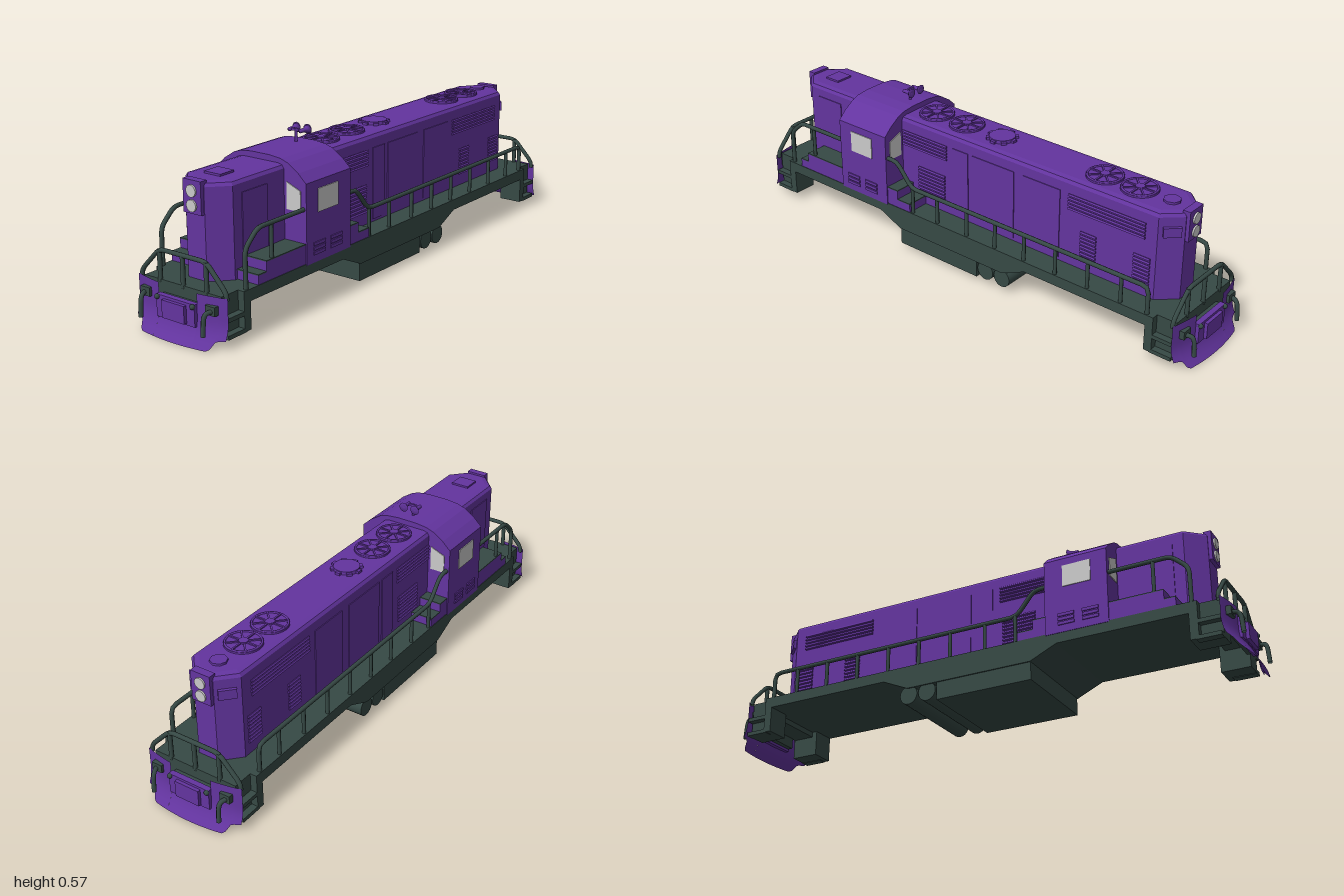
import * as THREE from 'three';

export function createModel() {
  const model = new THREE.Group();
  model.name = 'locomotive';
  const material = (name, color) => {
    const m = new THREE.MeshStandardMaterial({ color, side: THREE.DoubleSide });
    m.name = name;
    return m;
  };
  const purple = material('purple paint', 0x63349f);
  const green = material('dark green', 0x364945);
  const pale = material('pale glass', 0xcacaca);

  // Helpers
  const add = (name, geometry, mat, x = 0, y = 0, z = 0) => {
    const mesh = new THREE.Mesh(geometry, mat);
    mesh.name = name;
    mesh.position.set(x, y, z);
    model.add(mesh);
    return mesh;
  };
  // box given by its limits
  const box = (name, mat, x0, x1, y0, y1, z0, z1) =>
    add(name, new THREE.BoxGeometry(Math.abs(x1 - x0), y1 - y0, Math.abs(z1 - z0)), mat,
      (x0 + x1) / 2, (y0 + y1) / 2, (z0 + z1) / 2);
  const extrude = (points, depth, options = {}) => new THREE.ExtrudeGeometry(
    new THREE.Shape(points.map(([a, b]) => new THREE.Vector2(a, b))),
    { depth, bevelEnabled: false, ...options });
  // rail with rounded corners through the given points
  const rail = (name, points, r = 0.008) => {
    const p = points.map(v => new THREE.Vector3(...v));
    const path = new THREE.CurvePath();
    let from = p[0];
    for (let i = 1; i < p.length - 1; i++) {
      const cut = q => p[i].clone().lerp(q, Math.min(0.5, 0.025 / p[i].distanceTo(q)));
      const a = cut(p[i - 1]), b = cut(p[i + 1]);
      path.add(new THREE.LineCurve3(from, a));
      path.add(new THREE.QuadraticBezierCurve3(a, p[i], b));
      from = b;
    }
    path.add(new THREE.LineCurve3(from, p[p.length - 1]));
    add(name, new THREE.TubeGeometry(path, p.length * 12, r, 8), green);
  };

  // Underframe with belly, tank and air reservoirs
  const frame = extrude([[-0.86, 0.17], [-0.86, 0.13], [-0.33, 0.13], [-0.23, 0.085],
    [0.26, 0.085], [0.36, 0.13], [0.86, 0.13], [0.86, 0.17]], 0.38);
  add('underframe', frame.rotateY(-Math.PI / 2).translate(0.19, 0, 0), green);
  box('fuelTank', green, -0.185, 0.185, 0.02, 0.09, -0.11, 0.26);
  for (const z of [-0.15, -0.225])
    add('airReservoir', new THREE.CylinderGeometry(0.035, 0.035, 0.37, 20).rotateZ(Math.PI / 2), green, 0, 0.06, z);

  // Hoods: tapered plan with bevelled roof edge
  const hood = (name, points) => {
    const g = extrude(points, 0.325, { bevelEnabled: true, bevelThickness: 0.015,
      bevelSize: 0.025, bevelOffset: -0.025, bevelSegments: 2 });
    add(name, g.rotateX(Math.PI / 2).translate(0, 0.48, 0), purple);
  };
  hood('longHood', [[-0.1, 0.4], [-0.1, -0.8], [-0.04, -0.865], [0.04, -0.865], [0.1, -0.8], [0.1, 0.4]]);
  hood('shortHood', [[-0.1, 0.5], [0.1, 0.5], [0.1, 0.8], [0.04, 0.865], [-0.04, 0.865], [-0.1, 0.8]]);

  // Cab with arched roof
  const half = [[0.192, 0.165], [0.192, 0.443], [0.16, 0.473], [0.117, 0.501], [0.087, 0.511], [0.04, 0.516]];
  add('cab', extrude([...half, ...half.map(([x, y]) => [-x, y]).reverse()], 0.235), purple, 0, 0, 0.32);
  for (const s of [-1, 1]) {
    box('sideWindow', pale, s * 0.189, s * 0.195, 0.335, 0.415, 0.39, 0.495);
    const pane = [[0.112, 0.345], [0.17, 0.345], [0.17, 0.415], [0.112, 0.438]];
    for (const z of [0.317, 0.552])
      add('endWindow', extrude(pane.map(([x, y]) => [s * x, y]), 0.006), pale, 0, 0, z);
    for (const z of [0.4, 0.49])
      for (let i = 0; i < 3; i++)
        box('cabVent', purple, s * 0.19, s * 0.196, 0.192 + i * 0.016, 0.203 + i * 0.016, z - 0.03, z + 0.03);

    // Stepped lockers with green walkway tops
    for (const [top, z0, z1] of [[0.235, 0.55, 0.75], [0.2, 0.75, 0.79], [0.235, 0.27, 0.325], [0.2, 0.21, 0.27]]) {
      box('locker', purple, s * 0.095, s * 0.188, 0.165, top, z0, z1);
      box('lockerTop', green, s * 0.095, s * 0.188, top, top + 0.004, z0, z1);
    }

    // Hood grilles, louvres and doors
    const slats = (name, z0, z1, y0, y1, n) => {
      const step = (y1 - y0) / n;
      for (let i = 0; i < n; i++) {
        const slat = box(name, purple, s * 0.098, s * 0.106, y0 + i * step, y0 + (i + 0.55) * step, z0, z1);
        slat.rotation.z = s * 0.35;
      }
    };
    slats('radiatorGrille', 0.1, 0.315, 0.385, 0.45, 5);
    slats('radiatorGrille', -0.755, -0.445, 0.385, 0.45, 5);
    for (const [z0, z1] of [[0.11, 0.24], [-0.565, -0.5], [-0.78, -0.715]])
      slats('louvre', z0, z1, 0.215, 0.325, 8);
    for (const [z0, z1] of [[0, 0.07], [-0.21, -0.02], [-0.41, -0.25]])
      box('hoodDoor', purple, s * 0.098, s * 0.103, 0.18, 0.445, z0, z1);
    box('noseDoor', purple, s * 0.098, s * 0.103, 0.24, 0.45, 0.64, 0.76);

    // Number board on the rear taper
    const board = box('numberBoard', purple, -0.03, 0.03, 0.41, 0.445, -0.008, 0.008);
    board.position.set(s * 0.071, 0.428, -0.836);
    board.rotation.y = -s * 0.825;

    // Long side rail rising to the cab, and front side rail
    const x = s * 0.18;
    rail('sideRail', [[x, 0.355, 0.32], [x, 0.355, 0.275], [x, 0.27, 0.205], [x, 0.27, -0.83], [x, 0.16, -0.83]]);
    for (const z of [0.2, 0.08, -0.06, -0.19, -0.32, -0.455, -0.59, -0.725])
      rail('sideRailPost', [[x, 0.16, z], [x, 0.27, z]], 0.007);
    rail('frontSideRail', [[x, 0.16, 0.84], [x, 0.3, 0.84], [x, 0.355, 0.78], [x, 0.355, 0.55]]);
    rail('frontSideRailPost', [[x, 0.2, 0.715], [x, 0.355, 0.715]], 0.007);
  }

  // Roof fans with rim, hub and spokes
  const fan = (z, r) => {
    add('fanBase', new THREE.CylinderGeometry(r, r, 0.012, 28), purple, 0, 0.495, z);
    add('fanRim', new THREE.TorusGeometry(r - 0.005, 0.004, 6, 28).rotateX(Math.PI / 2), purple, 0, 0.502, z);
    add('fanHub', new THREE.CylinderGeometry(r * 0.25, r * 0.25, 0.008, 16), purple, 0, 0.503, z);
    for (let i = 0; i < 8; i++)
      add('fanSpoke', new THREE.BoxGeometry(r * 0.7, 0.005, 0.006).translate(r * 0.6, 0, 0), purple, 0, 0.503, z)
        .rotation.y = i * Math.PI / 4;
  };
  for (const z of [0.235, 0.09, -0.52, -0.66]) fan(z, 0.066);
  add('roofVent', new THREE.CylinderGeometry(0.03, 0.03, 0.014, 8), purple, 0, 0.496, -0.785);
  add('exhaustCover', new THREE.CylinderGeometry(0.048, 0.05, 0.02, 16), purple, 0, 0.497, -0.075);
  for (let i = 0; i < 8; i++)
    add('exhaustTooth', new THREE.BoxGeometry(0.02, 0.014, 0.02).translate(0.048, 0, 0), purple, 0, 0.497, -0.075)
      .rotation.y = i * Math.PI / 4;
  box('noseHatch', purple, -0.035, 0.035, 0.49, 0.502, 0.72, 0.785);

  // Horn: post, crossbar and two flared trumpets
  add('hornPost', new THREE.CylinderGeometry(0.005, 0.005, 0.05, 8), purple, 0, 0.537, 0.37);
  box('hornBar', purple, -0.025, 0.025, 0.553, 0.561, 0.366, 0.374);
  for (const s of [-1, 1])
    add('hornTrumpet', new THREE.LatheGeometry([[0, 0.02], [0.007, 0.018], [0.007, 0], [0.01, -0.012], [0.018, -0.022], [0, -0.018]]
      .map(p => new THREE.Vector2(...p)), 16).rotateX(Math.PI / 2), purple, s * 0.024, 0.556, 0.36);

  // Plow: three curved panels, the middle one lower
  const plowPanel = (x0, x1, top) => {
    const g = new THREE.PlaneGeometry(1, 1, 10, 8), p = g.attributes.position;
    for (let i = 0; i < p.count; i++) {
      const x = x0 + (p.getX(i) + 0.5) * (x1 - x0), a = Math.abs(x);
      const low = a < 0.145 ? 0 : a < 0.16 ? (a - 0.145) * 2 : 0.03 + (a - 0.16) * 0.15;
      const y = low + (p.getY(i) + 0.5) * (top - low);
      const flare = Math.max(0, 1 - y / 0.09);
      p.setXYZ(i, x, y, 0.962 + 0.036 * flare * flare - 0.7 * x * x);
    }
    g.computeVertexNormals();
    return g;
  };
  const ends = [1, -1];
  for (const e of ends) {
    const first = model.children.length;
    // End platform, stair wells and steps
    box('endPlatform', green, -0.165, 0.165, 0.11, 0.17, 0.85, 0.935);
    for (const s of [-1, 1]) {
      box('stairBack', green, s * 0.1, s * 0.165, 0.035, 0.13, 0.83, 0.935);
      box('stairWall', green, s * 0.1, s * 0.19, 0.035, 0.14, 0.83, 0.86);
      for (const y of [0.033, 0.09]) box('stairStep', green, s * 0.16, s * 0.19, y, y + 0.014, 0.85, 0.935);
    }
    // Plow, coupler and hoses
    for (const [x0, x1, top] of [[-0.192, -0.082, 0.17], [-0.082, 0.082, 0.135], [0.082, 0.192, 0.17]])
      add('plowPanel', plowPanel(x0, x1, top), purple);
    box('plowMount', green, -0.08, 0.08, 0.07, 0.13, 0.93, 0.958);
    box('couplerPlate', purple, -0.082, 0.082, 0.06, 0.135, 0.95, 0.97);
    box('coupler', purple, -0.048, 0.048, 0.066, 0.126, 0.96, 0.982);
    for (const s of [-1, 1]) {
      box('hoseBracket', green, s * 0.12, s * 0.16, 0.112, 0.142, 0.94, 0.962);
      rail('brakeHose', [[s * 0.145, 0.125, 0.955], [s * 0.135, 0.122, 0.985], [s * 0.135, 0.05, 0.99]]);
      add('pinLever', new THREE.SphereGeometry(0.009, 10, 8), green, s * 0.076, 0.128, 0.972);
    }
    // End handrail
    rail('endRail', [[-0.183, 0.16, 0.93], [-0.18, 0.185, 0.93], [-0.1, 0.268, 0.93],
      [0.1, 0.268, 0.93], [0.18, 0.185, 0.93], [0.183, 0.16, 0.93]]);
    for (const x of [-0.1, 0, 0.1]) rail('endRailPost', [[x, 0.16, 0.93], [x, 0.268, 0.93]]);
    // Headlight housing with two lamps
    box('headlightHousing', purple, -0.038, 0.038, 0.39, 0.5, 0.85, 0.878);
    for (const y of [0.417, 0.465])
      add('headlight', new THREE.CylinderGeometry(0.02, 0.02, 0.008, 24).rotateX(Math.PI / 2), pale, 0, y, 0.88);
    // Gather the end and turn it to face outward
    const end = new THREE.Group();
    end.name = e > 0 ? 'frontEnd' : 'rearEnd';
    end.add(...model.children.slice(first));
    if (e < 0) end.rotation.y = Math.PI;
    model.add(end);
  }
  return model;
}
